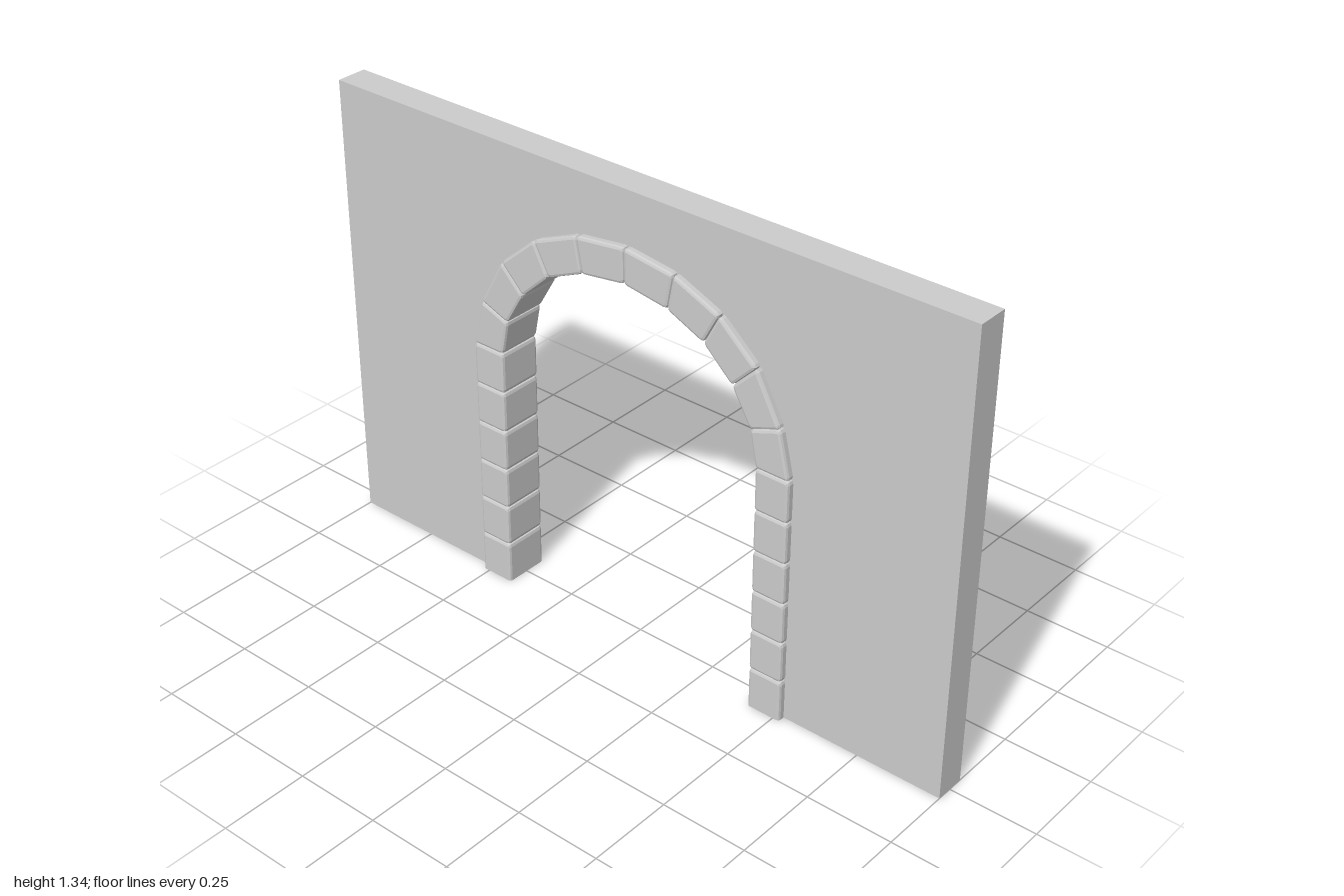
import * as THREE from 'three';

const WALL_DEPTH = 0.09, STONE_DEPTH = 0.132;
const BEVEL = 0.008, CORNER = 0.011;
const JAMB_TOP = 0.73, JAMB_COUNT = 6;

// Arch joints from springing to crown: [outer x, outer y, inner x, inner y]
const JOINTS = [
  [0.52, JAMB_TOP, 0.418, JAMB_TOP],
  [0.488, 0.866, 0.398, 0.832],
  [0.413, 1.006, 0.34, 0.932],
  [0.298, 1.107, 0.25, 1.016],
  [0.156, 1.167, 0.137, 1.066],
  [0, 1.187, 0, 1.086],
];

// Quadrilateral outline with rounded corners
function roundedQuad(corners, radius) {
  const pts = corners.map(([x, y]) => new THREE.Vector2(x, y));
  const shape = new THREE.Shape();
  pts.forEach((p, i) => {
    const toward = (q) => p.clone().add(q.clone().sub(p).setLength(radius));
    const a = toward(pts[(i + 3) % 4]);
    const b = toward(pts[(i + 1) % 4]);
    if (i === 0) shape.moveTo(a.x, a.y);
    else shape.lineTo(a.x, a.y);
    shape.quadraticCurveTo(p.x, p.y, b.x, b.y);
  });
  shape.closePath();
  return shape;
}

// Stone with softened edges on all sides, passing through the wall
function makeStone(name, corners, material, side) {
  const mirrored = corners.map(([x, y]) => [x * side, y]);
  if (side < 0) mirrored.reverse();
  const depth = STONE_DEPTH - 2 * BEVEL;
  const geometry = new THREE.ExtrudeGeometry(roundedQuad(mirrored, CORNER), {
    depth, curveSegments: 2, bevelEnabled: true, bevelSegments: 2,
    bevelThickness: BEVEL, bevelSize: BEVEL, bevelOffset: -BEVEL,
  });
  geometry.translate(0, 0, -depth / 2);
  // Cut the stone flat where it meets the ground
  const pos = geometry.attributes.position;
  for (let i = 0; i < pos.count; i++) pos.setY(i, Math.max(0, pos.getY(i)));
  geometry.computeVertexNormals();
  const mesh = new THREE.Mesh(geometry, material);
  mesh.name = name;
  return mesh;
}

export function createModel() {
  const model = new THREE.Group();
  model.name = 'archedWall';
  const material = new THREE.MeshStandardMaterial({ color: 0xcccccc });

  // Wall, its opening hidden along the middle of the stones
  const middle = JOINTS.map(([ox, oy, ix, iy]) => [(ox + ix) / 2, (oy + iy) / 2]);
  const outline = new THREE.Shape();
  outline.moveTo(-1, 0);
  outline.lineTo(-middle[0][0], 0);
  middle.forEach(([x, y]) => outline.lineTo(-x, y));
  middle.slice(0, -1).reverse().forEach(([x, y]) => outline.lineTo(x, y));
  outline.lineTo(middle[0][0], 0);
  outline.lineTo(1, 0);
  outline.lineTo(1, 1.335);
  outline.lineTo(-1, 1.335);
  outline.closePath();
  const wallGeometry = new THREE.ExtrudeGeometry(outline, { depth: WALL_DEPTH, bevelEnabled: false });
  wallGeometry.translate(0, 0, -WALL_DEPTH / 2);
  const wall = new THREE.Mesh(wallGeometry, material);
  wall.name = 'wall';
  model.add(wall);

  for (const side of [1, -1]) {
    const half = new THREE.Group();
    half.name = side > 0 ? 'leftStones' : 'rightStones';

    // Straight jamb stones
    const pitch = JAMB_TOP / JAMB_COUNT;
    const [outer, , inner] = JOINTS[0];
    for (let i = 0; i < JAMB_COUNT; i++) {
      const y0 = i === 0 ? -0.03 : i * pitch;
      const y1 = (i + 1) * pitch;
      half.add(makeStone('jambStone', [[inner, y0], [outer, y0], [outer, y1], [inner, y1]], material, side));
    }

    // Wedge stones of the arch
    for (let i = 0; i < JOINTS.length - 1; i++) {
      const [ax, ay, bx, by] = JOINTS[i];
      const [cx, cy, dx, dy] = JOINTS[i + 1];
      half.add(makeStone('archStone', [[bx, by], [ax, ay], [cx, cy], [dx, dy]], material, side));
    }
    model.add(half);
  }
  return model;
}
